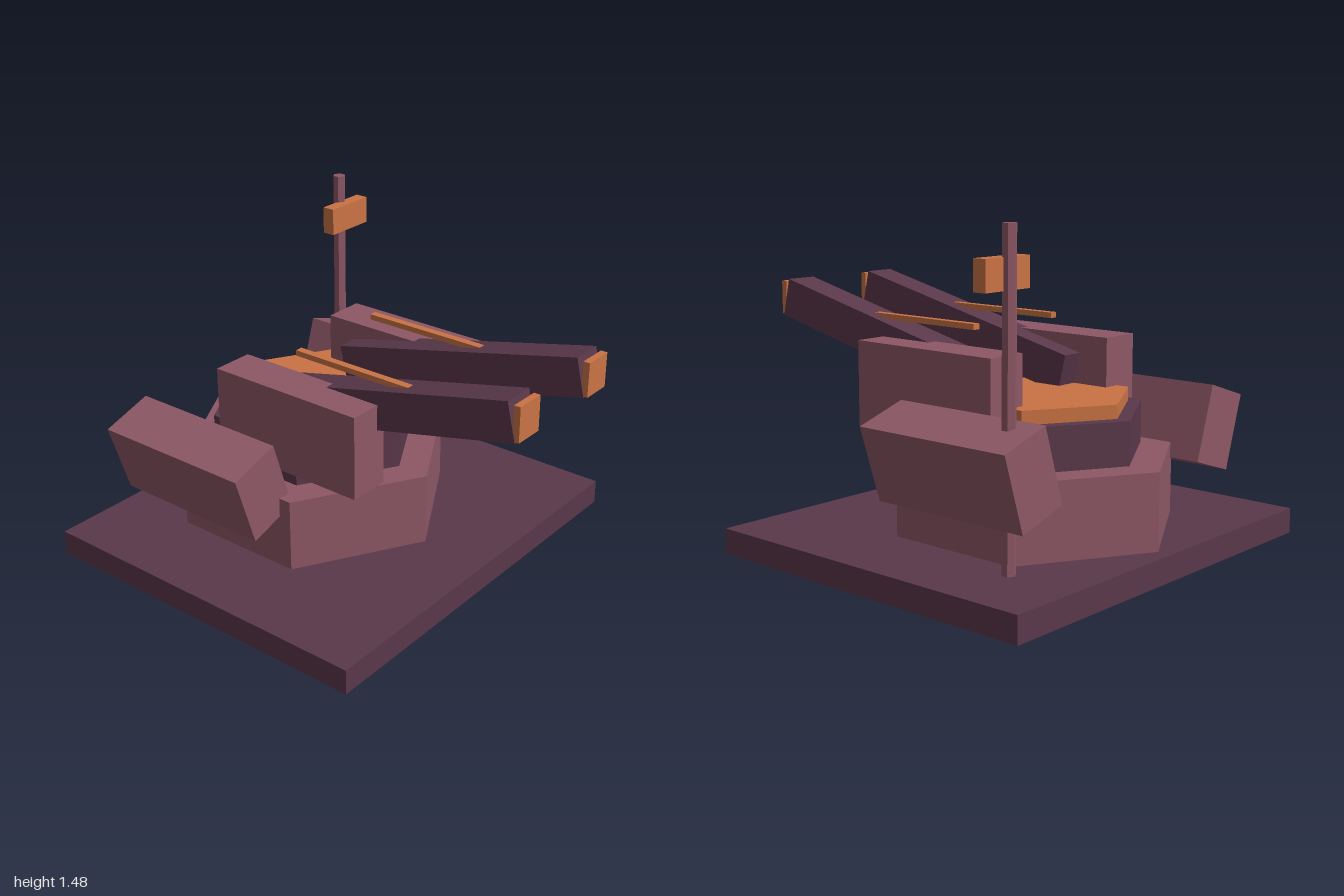
import * as THREE from 'three';

export function createModel() {
  const model = new THREE.Group();
  model.name = 'turret';

  const mat = (name, color) => {
    const m = new THREE.MeshStandardMaterial({ color });
    m.name = name;
    return m;
  };
  const plum = mat('dark plum', 0x5a384a);
  const mauve = mat('dusty mauve', 0x8e5866);
  const orange = mat('burnt orange', 0xca7344);

  const add = (name, geometry, material, x, y, z) => {
    const mesh = new THREE.Mesh(geometry, material);
    mesh.name = name;
    mesh.position.set(x, y, z);
    model.add(mesh);
    return mesh;
  };
  const box = (name, material, [w, h, d], [x, y, z]) =>
    add(name, new THREE.BoxGeometry(w, h, d), material, x, y, z);
  // Six-sided prism with corners pointing to front and back
  const hexPrism = (name, material, r, y0, y1, x, z) => {
    const g = new THREE.CylinderGeometry(r, r, y1 - y0, 6).toNonIndexed();
    g.computeVertexNormals();
    return add(name, g, material, x, (y0 + y1) / 2, z);
  };

  // Ground slab and stacked hexagonal tiers
  box('baseSlab', plum, [1.92, 0.115, 1.66], [0, 0.0575, -0.17]);
  hexPrism('lowerTier', mauve, 0.637, 0.115, 0.45, 0, -0.3);
  hexPrism('turntable', plum, 0.485, 0.45, 0.64, 0, -0.3);
  hexPrism('deckPlate', orange, 0.42, 0.64, 0.7, 0, -0.3);

  // Mirrored gun assemblies
  for (const [side, s] of [['left', 1], ['right', -1]]) {
    box(side + 'GunMount', mauve, [0.195, 0.38, 0.765], [s * 0.383, 0.73, -0.065]);

    const barrel = box(side + 'Barrel', plum, [0.15, 0.175, 1.278], [s * 0.255, 0.9, 0.342]);
    barrel.rotation.x = -0.23;
    box(side + 'Muzzle', orange, [0.14, 0.155, 0.03], [s * 0.255, 1.042, 0.985]);
    box(side + 'SightRail', orange, [0.035, 0.025, 0.6], [s * 0.257, 1.0, 0.13]);

    // Tilted ammunition pod
    const pod = box(side + 'Pod', mauve, [0.247, 0.346, 0.77], [s * 0.643, 0.514, -0.425]);
    pod.rotation.z = -s * 0.31;
  }

  // Mast with sensor box
  hexPrism('mast', mauve, 0.03, 0.115, 1.475, 0.638, -0.68);
  box('sensorBox', orange, [0.255, 0.127, 0.06], [0.638, 1.284, -0.643]);

  return model;
}
